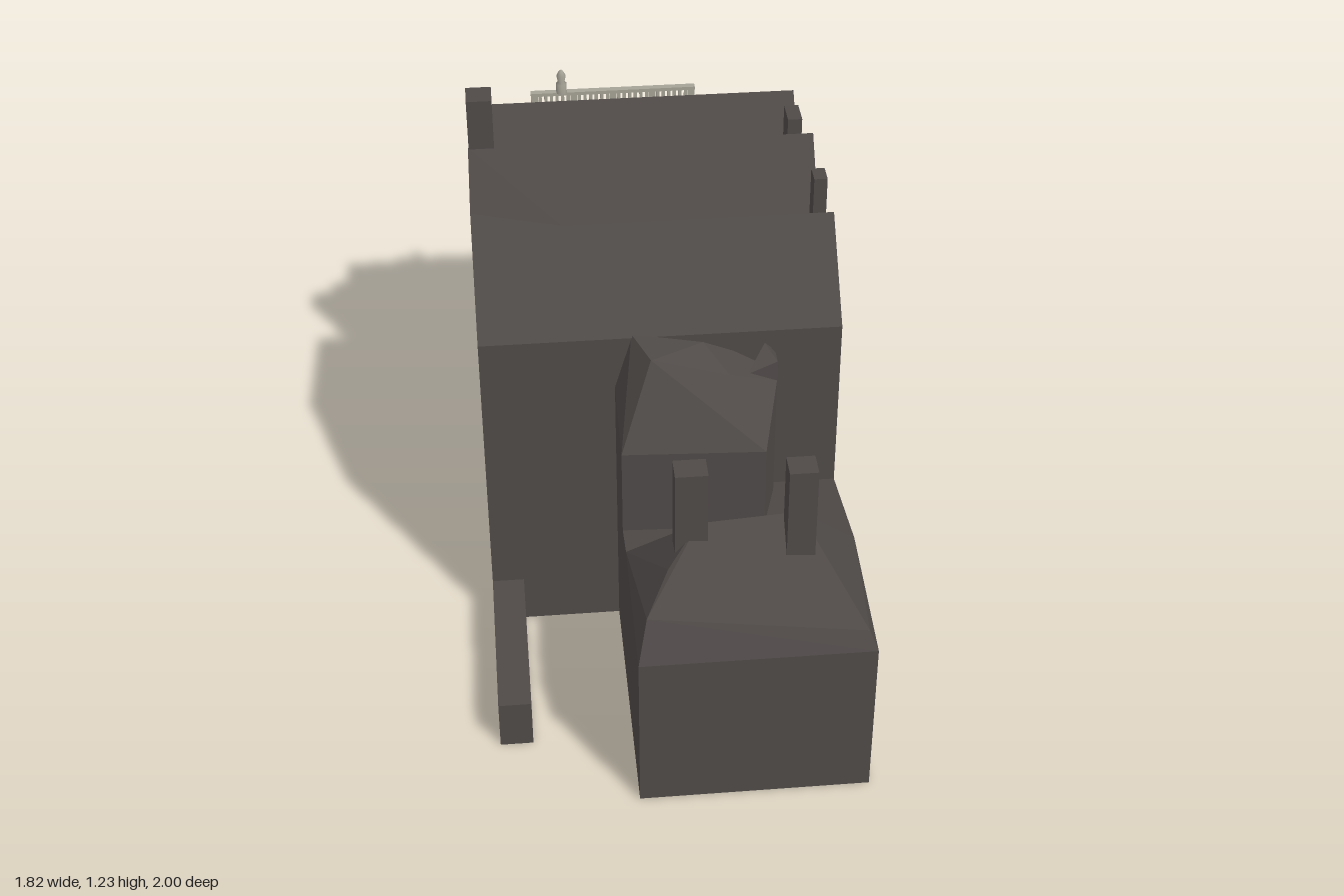
import * as THREE from 'three';
import { ConvexGeometry } from 'three/addons/geometries/ConvexGeometry.js';

const mat = (name, color, side = THREE.FrontSide) => {
  const m = new THREE.MeshStandardMaterial({ color, side });
  m.name = name;
  return m;
};

// Copy of a geometry without the triangles that the test picks by centre and normal
const without = (geometry, test) => {
  const geo = geometry.index ? geometry.toNonIndexed() : geometry;
  const p = geo.attributes.position, kept = [], tri = new THREE.Triangle();
  const centre = new THREE.Vector3(), normal = new THREE.Vector3();
  for (let i = 0; i < p.count; i += 3) {
    tri.setFromAttributeAndIndices(p, i, i + 1, i + 2);
    tri.getMidpoint(centre);
    tri.getNormal(normal);
    if (!test(centre, normal)) kept.push(...tri.a.toArray(), ...tri.b.toArray(), ...tri.c.toArray());
  }
  const out = new THREE.BufferGeometry();
  out.setAttribute('position', new THREE.Float32BufferAttribute(kept, 3));
  out.computeVertexNormals();
  return out;
};
const isBottom = (c, n) => n.y < -0.9;

export function createModel() {
  const dark = mat('dark masonry', 0x4f4a48, THREE.DoubleSide);
  const stone = mat('facade stone', 0xa5a296);
  const joint = mat('stone joint', 0x6b6960);
  const white = mat('window frame', 0xdedcd2);
  const glass = mat('window glass', 0x484848);
  const iron = mat('iron', 0x242222);

  // Local frame: x runs along the facade, +z out of it, depth d = -z
  const house = new THREE.Group();
  house.name = 'townhouse';
  const add = (name, geo, material, parent = house) => {
    const m = new THREE.Mesh(geo, material);
    m.name = name;
    parent.add(m);
    return m;
  };
  // Box between two x, y and z limits
  const box = (name, material, x0, x1, y0, y1, z0, z1, parent = house) => {
    const m = add(name, new THREE.BoxGeometry(x1 - x0, y1 - y0, z1 - z0), material, parent);
    m.position.set((x0 + x1) / 2, (y0 + y1) / 2, (z0 + z1) / 2);
    return m;
  };
  // Open shell: a profile of (depth, height) points drawn out along x
  const shell = (name, pts, x0, x1, test) => {
    const shape = new THREE.Shape(pts.map(p => new THREE.Vector2(...p)));
    const geo = new THREE.ExtrudeGeometry(shape, { depth: x1 - x0, bevelEnabled: false });
    geo.rotateY(Math.PI / 2).translate(x0, 0, 0);
    return add(name, without(geo, test), dark);
  };
  // Convex solid from (x, depth, height) points, open below
  const hull = (name, pts) => add(name, without(
    new ConvexGeometry(pts.map(([x, d, y]) => new THREE.Vector3(x, y, -d))), isBottom), dark);

  const W = 0.93, R = 0.585, C = W / 2;

  // Main block with three parallel roofs; its back wall is open towards the rear wing
  shell('mainBlock', [[0, 0], [1.1, 0], [1.1, 0.93], [0.9, 1.15], [0.74, 0.905], [0.53, 1.17],
    [0.33, 0.905], [0.165, 1.1], [0.075, 1.0], [0, 0.97]], 0, W,
    (c, n) => isBottom(c, n) || (n.z < -0.9 && c.z < -1.09));
  for (const [x0, x1, y0] of [[0, R, 0.43], [R, W, 0]]) {
    const wall = add('backWall', new THREE.PlaneGeometry(x1 - x0, 0.93 - y0).rotateY(Math.PI), dark);
    wall.position.set((x0 + x1) / 2, (0.93 + y0) / 2, -1.1);
  }
  hull('rearValleyGable', [[W, 0.52, 1.17], [W, 0.9, 1.2], [W, 0.74, 0.9], [0.78, 0.73, 0.905],
    [0.7, 0.9, 1.15], [W, 1.1, 0.93]]);
  hull('frontValleyGable', [[W, 0.165, 1.1], [W, 0.42, 1.05], [W, 0.33, 0.9], [0.76, 0.325, 0.905]]);
  hull('valleyDormer', [[0.14, 0.71, 0.99], [0.14, 0.78, 0.99], [0.28, 0.69, 1.01], [0.28, 0.77, 1.01],
    [0.14, 0.74, 0.9], [0.28, 0.74, 0.9]]);

  // Chimneys: x0, x1, depth0, depth1, bottom, top
  [[0.86, W, 0.3, 0.38, 0.9, 1.23], [0, 0.04, 0.26, 0.34, 0.88, 1.105], [0, 0.035, 0.73, 0.785, 0.88, 1.18],
    [0.14, 0.21, 1.58, 1.645, 0.55, 0.9], [0.4, 0.48, 1.555, 1.62, 0.5, 0.89]]
    .forEach(([a, b, d0, d1, y0, y1]) => box('chimney', dark, a, b, y0, y1, -d1, -d0));

  // Rear wing, open to the main block and under its hipped roof
  shell('rearWing', [[1.1, 0], [1.8, 0], [1.8, 0.458], [1.42, 0.495], [1.1, 0.43]], 0, R,
    (c, n) => isBottom(c, n) || n.z > 0.9 || (n.y > 0.9 && c.z < -1.45));
  hull('rearHipRoof', [[0, 1.8, 0.458], [R, 1.8, 0.458], [0, 1.42, 0.495], [R, 1.42, 0.495],
    [0.02, 1.775, 0.505], [0.56, 1.75, 0.565], [0.5, 1.66, 0.64], [0.17, 1.57, 0.72], [0.42, 1.59, 0.72]]);

  // Taller link between the wing and the main block
  hull('linkBlock', [[0.17, 1.09, 0.43], [0.17, 1.14, 0.43], [0.22, 1.33, 0.43], [R, 1.31, 0.43], [R, 1.09, 0.43],
    [0.17, 1.09, 0.8], [0.17, 1.14, 0.8], [0.22, 1.33, 0.72], [R, 1.31, 0.72], [R, 1.09, 0.78],
    [0.24, 1.09, 0.85], [0.3, 1.2, 0.87], [0.36, 1.12, 0.92], [0.5, 1.2, 0.93], [0.54, 1.09, 0.935]]);
  hull('linkTurret', [[0.17, 1.09, 0.75], [0.17, 1.14, 0.75], [0.25, 1.16, 0.75], [0.25, 1.09, 0.75],
    [0.17, 1.09, 0.86], [0.17, 1.14, 0.86], [0.25, 1.16, 0.84], [0.2, 1.11, 0.9]]);
  const garden = box('gardenWall', dark, 0.845, W, 0, 0.14, -1.58, -1.1);
  garden.geometry = without(garden.geometry, isBottom);

  // Street facade
  const facade = new THREE.Group();
  facade.name = 'facade';
  house.add(facade);
  box('facadeWall', stone, 0, W, 0, 0.955, 0, 0.012, facade);
  box('plinth', stone, 0, W, 0, 0.09, 0.012, 0.018, facade);
  box('corniceLower', stone, 0, W, 0.95, 0.965, -0.005, 0.03, facade);
  box('corniceUpper', stone, -0.003, W + 0.003, 0.965, 0.98, -0.015, 0.045, facade);
  [0.385, 0.665, 0.865].forEach(y => box('stringCourse', stone, 0, W, y, y + 0.014, 0.012, 0.02, facade));

  // Rusticated joints on the piers between the bays
  const bays = [-2, -1, 0, 1, 2].map(i => C + i * 0.172);
  const pierEdges = [0.03, ...bays.flatMap(b => [b - 0.062, b + 0.062]), W - 0.03];
  for (let y = 0.115; y < 0.86; y += 0.034) {
    for (let p = 0; p < pierEdges.length; p += 2) {
      box('joint', joint, pierEdges[p], pierEdges[p + 1], y, y + 0.01, 0.01, 0.0135, facade);
    }
  }
  for (const y of [0.36, 0.405, 0.43, 0.645, 0.69, 0.845, 0.94]) {
    box('longJoint', joint, 0.03, W - 0.03, y, y + 0.006, 0.01, 0.0135, facade);
  }

  // Sash window with a grid of panes and a sill
  const sash = (x, y0, y1, rows) => {
    const w = 0.094, h = y1 - y0, cols = 3, bar = 0.008;
    const g = new THREE.Group();
    g.name = 'window';
    facade.add(g);
    box('surround', stone, x - w / 2 - 0.014, x + w / 2 + 0.014, y0 - 0.006, y1 + 0.012, 0.012, 0.016, g);
    box('frame', white, x - w / 2, x + w / 2, y0, y1, 0.014, 0.018, g);
    const pw = (w - bar * (cols + 1)) / cols, ph = (h - bar * (rows + 1)) / rows;
    for (let c = 0; c < cols; c++) {
      for (let r = 0; r < rows; r++) {
        const px = x - w / 2 + bar + c * (pw + bar), py = y0 + bar + r * (ph + bar);
        box('pane', glass, px, px + pw, py, py + ph, 0.017, 0.0195, g);
      }
    }
    box('sill', stone, x - w / 2 - 0.018, x + w / 2 + 0.018, y0 - 0.016, y0 - 0.004, 0.012, 0.026, g);
  };
  bays.forEach((x, i) => {
    if (i !== 2) sash(x, 0.135, 0.33, 4);
    sash(x, 0.445, 0.62, 4);
    sash(x, 0.725, 0.82, 2);
  });

  // Paired oval attic lights in the outer bays
  for (const x of [bays[0], bays[4]]) {
    for (const s of [-1, 1]) {
      for (const [name, r, m, z] of [['ovalFrame', 0.027, joint, 0.0145], ['ovalGlass', 0.021, glass, 0.016]]) {
        const o = add(name, new THREE.CircleGeometry(r, 20), m, facade);
        o.scale.y = 0.85;
        o.position.set(x + s * 0.031, 0.908, z);
      }
    }
  }

  // Doorway with fanlight, pilasters and hoods
  box('doorSurround', stone, C - 0.085, C + 0.085, 0.09, 0.385, 0.012, 0.017, facade);
  box('door', glass, C - 0.055, C + 0.055, 0.095, 0.275, 0.016, 0.021, facade);
  const fan = (name, r, m, z) => {
    const f = add(name, new THREE.CircleGeometry(r, 20, 0, Math.PI), m, facade);
    f.position.set(C, 0.282, z);
  };
  fan('fanlightFrame', 0.064, white, 0.0185);
  fan('fanlightGlass', 0.057, glass, 0.0195);
  for (let i = 1; i < 8; i++) {
    const spoke = add('fanlightBar', new THREE.BoxGeometry(0.055, 0.005, 0.002).translate(0.0275, 0, 0), white, facade);
    spoke.position.set(C, 0.282, 0.0205);
    spoke.rotation.z = i * Math.PI / 8;
  }
  for (const s of [-1, 1]) {
    box('pilaster', stone, C + s * 0.075 - 0.01, C + s * 0.075 + 0.01, 0.09, 0.37, 0.012, 0.028, facade);
    box('windowPilaster', stone, C + s * 0.07 - 0.009, C + s * 0.07 + 0.009, 0.42, 0.645, 0.012, 0.024, facade);
    box('lantern', iron, C + s * 0.105 - 0.012, C + s * 0.105 + 0.012, 0.225, 0.285, 0.016, 0.035, facade);
  }
  box('doorHood', stone, C - 0.1, C + 0.1, 0.37, 0.39, 0.012, 0.035, facade);
  box('windowHood', stone, C - 0.09, C + 0.09, 0.64, 0.655, 0.012, 0.028, facade);

  // Front steps and handrails
  for (let i = 0; i < 5; i++) {
    box('step', stone, C - 0.065, C + 0.065, 0, 0.095 - i * 0.019, 0.012, 0.055 + i * 0.02);
  }
  for (const s of [-1, 1]) {
    const x = C + s * 0.07;
    for (let i = 0; i < 4; i++) {
      const y = 0.085 - i * 0.025, z = 0.05 + i * 0.028;
      box('railPost', iron, x - 0.0025, x + 0.0025, Math.max(0, y - 0.03), y + 0.07, z - 0.0025, z + 0.0025);
    }
    const rail = add('handrail', new THREE.BoxGeometry(0.005, 0.005, 0.115), iron);
    rail.position.set(x, 0.115, 0.092);
    rail.rotation.x = 0.73;
  }

  // Street railings either side of the steps
  for (const [a, b] of [[0.01, 0.33], [0.6, 0.915]]) {
    for (const y of [0.006, 0.056]) box('railing', iron, a, b, y, y + 0.008, 0.084, 0.088);
    for (let i = 0; i <= 22; i++) {
      const x = a + (b - a) * i / 22;
      box('railingBar', iron, x - 0.0035, x + 0.0035, 0, 0.068, 0.0845, 0.0875);
    }
  }

  // Roof balustrade and finial
  for (const y of [0.98, 1.022]) box('balustradeRail', stone, 0.265, 0.745, y, y + 0.01, 0.005, 0.025);
  for (let i = 0; i <= 28; i++) {
    const x = 0.275 + i * 0.0164, w = i % 7 ? 0.0045 : 0.01;
    box('baluster', stone, x - w, x + w, 0.985, 1.025, 0.009, 0.021);
  }
  const finial = add('finial', new THREE.LatheGeometry([[0.016, 0], [0.016, 0.03], [0.01, 0.035], [0.014, 0.055],
    [0.006, 0.07], [0, 0.075]].map(p => new THREE.Vector2(...p)), 10), stone);
  finial.position.set(0.655, 1.03, 0.012);

  // Turn the house to its diagonal placement
  house.rotation.y = Math.atan2(0.685, -0.7285);
  house.position.set(0.857, 0, -0.31);
  const model = new THREE.Group();
  model.name = 'model';
  model.add(house);
  return model;
}
